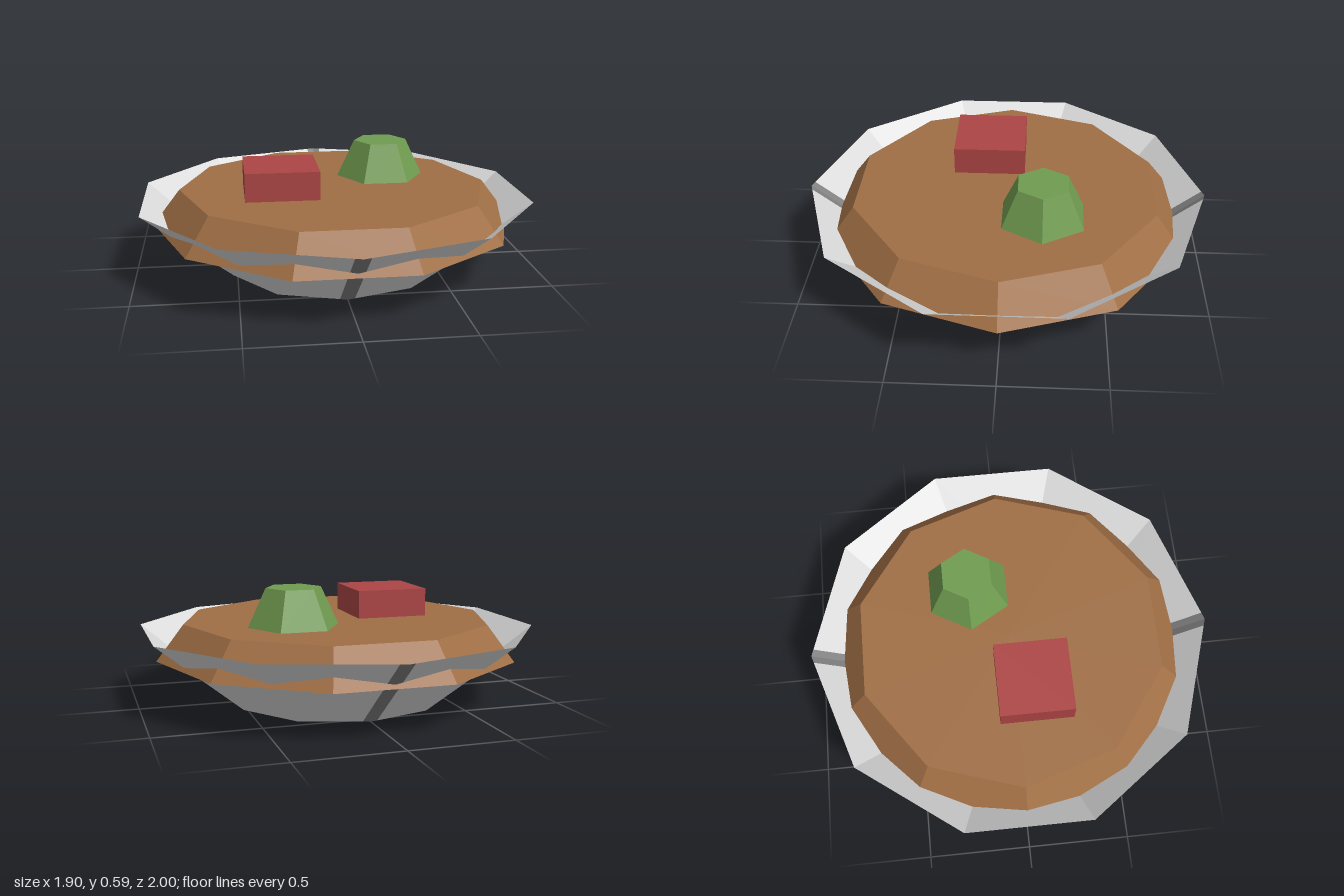
import * as THREE from 'three';

const flat = (name, color) =>
  new THREE.MeshStandardMaterial({ name, color, flatShading: true, side: THREE.DoubleSide });

const RIM_Y = 0.365, RIM_R = 1, BASE_R = 0.545, SEAM = 0.035;

// Where the seam edge cuts the ten-sided ring of radius r
const cutZ = (r) => r - SEAM * Math.tan(Math.PI / 10);

// Outline of one bowl half (+x side) as [x, z] points
function halfOutline(r) {
  const pts = [[SEAM, cutZ(r)]];
  for (let k = 1; k < 5; k++) {
    const a = (k * Math.PI) / 5;
    pts.push([r * Math.sin(a), r * Math.cos(a)]);
  }
  pts.push([SEAM, -cutZ(r)]);
  return pts;
}

// Outline of the narrow band running front to back
function seamOutline(r) {
  const c = cutZ(r);
  return [[-SEAM, c], [0, r], [SEAM, c], [SEAM, -c], [0, -r], [-SEAM, -c]];
}

// Floor plus sloping walls; edges listed in "open" get no wall
function shell(outline, open) {
  const low = outline(BASE_R).map(([x, z]) => [x, 0, z]);
  const high = outline(RIM_R).map(([x, z]) => [x, RIM_Y, z]);
  const pos = [];
  const n = low.length;
  for (let i = 0; i < n; i++) {
    const j = (i + 1) % n;
    if (!open.includes(i)) {
      pos.push(...low[i], ...low[j], ...high[j], ...low[i], ...high[j], ...high[i]);
    }
    if (i > 0 && j > 0) pos.push(...low[0], ...low[j], ...low[i]);
  }
  const geo = new THREE.BufferGeometry();
  geo.setAttribute('position', new THREE.Float32BufferAttribute(pos, 3));
  geo.computeVertexNormals();
  return geo;
}

export function createModel() {
  const model = new THREE.Group();
  model.name = 'filledBowl';
  const grey = flat('lightGrey', 0xdddddd);
  const dark = flat('darkGrey', 0x808080);
  const brown = flat('brown', 0xa06f45);
  const red = flat('red', 0xad4545);
  const green = flat('green', 0x709c50);

  const add = (name, geo, mat, x = 0, y = 0, z = 0, turn = 0) => {
    const mesh = new THREE.Mesh(geo, mat);
    mesh.name = name;
    mesh.position.set(x, y, z);
    mesh.rotation.y = turn;
    model.add(mesh);
  };

  // Bowl: two halves joined by a dark band
  const half = shell(halfOutline, [5]);
  add('bowlLeftHalf', half, grey);
  add('bowlRightHalf', half, grey, 0, 0, 0, Math.PI);
  add('bowlBand', shell(seamOutline, [2, 5]), dark);

  // Filling: open-bottomed ten-sided mound, its skirt poking through the bowl
  const profile = [[0.91, 0.23], [0.775, 0.405], [0, 0.405]].map(([r, y]) => new THREE.Vector2(r, y));
  add('filling', new THREE.LatheGeometry(profile, 10), brown, 0, 0, 0, Math.PI / 10);

  // Chunks resting on the filling
  add('redChunk', new THREE.BoxGeometry(0.36, 0.14, 0.36), red, -0.275, 0.475, 0.09);
  add('greenChunk', new THREE.CylinderGeometry(0.137, 0.225, 0.187, 6), green, 0.27, 0.4985, -0.187, Math.PI / 6);

  return model;
}
